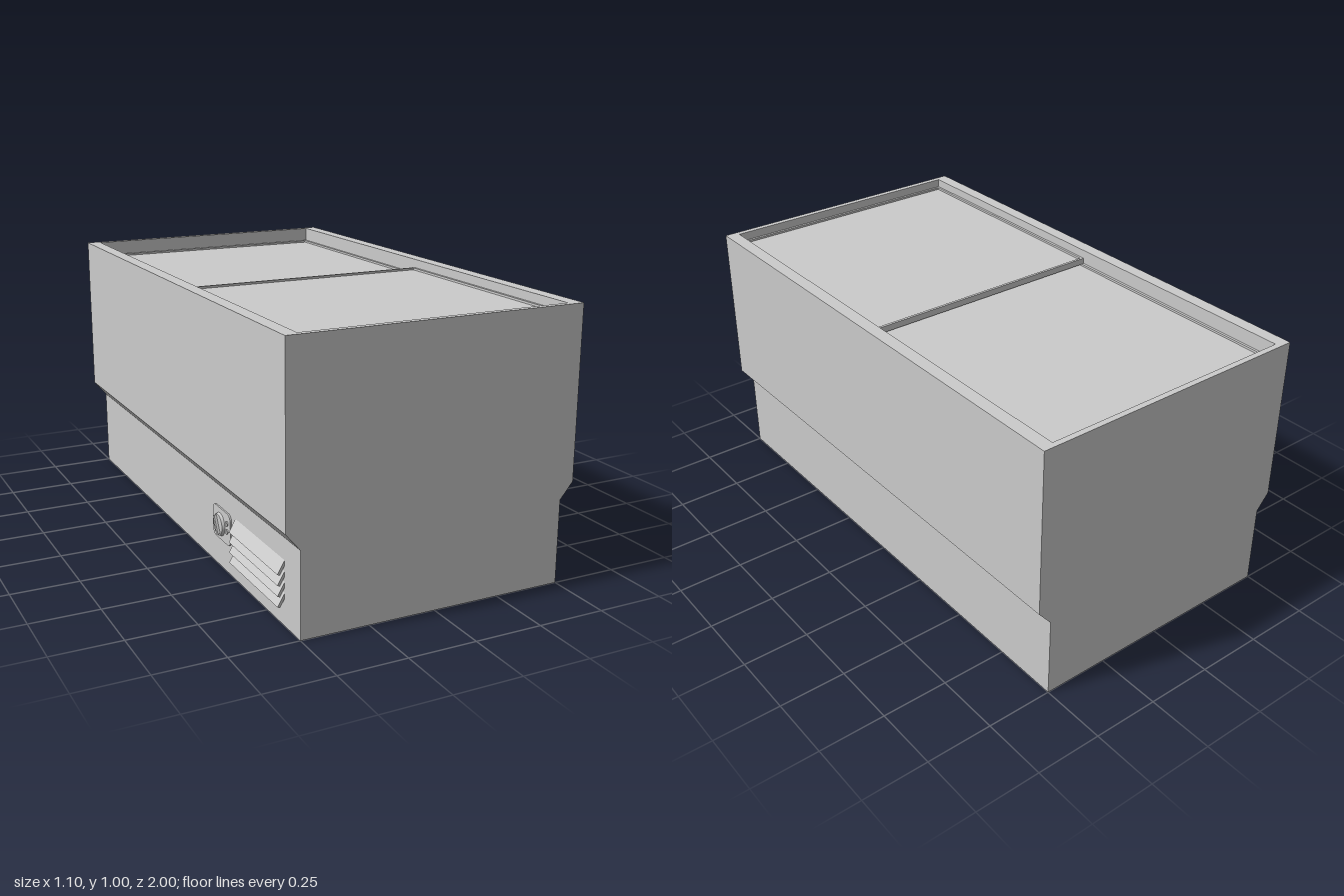
import * as THREE from 'three';

const material = new THREE.MeshStandardMaterial({ color: 0xcccccc });

function add(parent, name, geometry, x = 0, y = 0, z = 0) {
  const mesh = new THREE.Mesh(geometry, material);
  mesh.name = name;
  mesh.position.set(x, y, z);
  parent.add(mesh);
  return mesh;
}

function rectangle(target, w, h) {
  target.moveTo(-w, -h);
  target.lineTo(w, -h);
  target.lineTo(w, h);
  target.lineTo(-w, h);
  target.closePath();
  return target;
}

// Flat rectangular ring lying in the xz plane, rising from y = 0
function ring(halfX, halfZ, innerX, innerZ, height) {
  const shape = rectangle(new THREE.Shape(), halfX, halfZ);
  shape.holes.push(rectangle(new THREE.Path(), innerX, innerZ));
  const geometry = new THREE.ExtrudeGeometry(shape, { depth: height, bevelEnabled: false });
  return geometry.rotateX(-Math.PI / 2);
}

function roundedRect(w, h, r) {
  const s = new THREE.Shape();
  s.absarc(w - r, h - r, r, 0, Math.PI / 2);
  s.absarc(r - w, h - r, r, Math.PI / 2, Math.PI);
  s.absarc(r - w, r - h, r, Math.PI, Math.PI * 1.5);
  s.absarc(w - r, r - h, r, Math.PI * 1.5, Math.PI * 2);
  s.closePath();
  return s;
}

// Sliding lid: a pane with a thin raised frame
function addLid(parent, name, top, zMin, zMax) {
  const lid = new THREE.Group();
  lid.name = name;
  const lip = 0.008, halfZ = (zMax - zMin) / 2;
  add(lid, 'pane', new THREE.BoxGeometry(1, 0.016, halfZ * 2), 0, -lip - 0.008, 0);
  add(lid, 'frame', ring(0.5, halfZ, 0.49, halfZ - 0.01, lip), 0, -lip, 0);
  lid.position.set(0, top, (zMin + zMax) / 2);
  parent.add(lid);
}

export function createModel() {
  const model = new THREE.Group();
  model.name = 'chestFreezer';
  const rimBase = 0.92;

  // Cabinet with a narrower plinth
  const half = [[0.5, 0], [0.5, 0.31], [0.55, 0.37], [0.55, rimBase]];
  const mirrored = half.map(([x, y]) => [-x, y]).reverse();
  const profile = new THREE.Shape([...half, ...mirrored].map(([x, y]) => new THREE.Vector2(x, y)));
  const cabinet = new THREE.ExtrudeGeometry(profile, { depth: 2, bevelEnabled: false });
  add(model, 'cabinet', cabinet, 0, 0, -1);

  // Raised rim around the opening
  add(model, 'rim', ring(0.55, 1, 0.5, 0.978, 1 - rimBase), 0, rimBase, 0);

  // Two lids on separate levels
  addLid(model, 'frontLid', 0.967, 0, 0.978);
  addLid(model, 'backLid', 0.945, -0.978, 0.02);

  // Control panel, facing -x: its local z points out of the cabinet
  const panel = new THREE.Group();
  panel.name = 'controlPanel';
  panel.position.set(-0.5, 0.17, 0.37);
  panel.rotation.y = -Math.PI / 2;
  add(panel, 'plate', new THREE.ExtrudeGeometry(roundedRect(0.08, 0.06, 0.025),
    { depth: 0.006, bevelEnabled: false, curveSegments: 6 }));
  const dial = new THREE.CylinderGeometry(0.04, 0.043, 0.01, 32).rotateX(Math.PI / 2);
  add(panel, 'dial', dial, -0.012, -0.002, 0.011);
  add(panel, 'dialGrip', new THREE.BoxGeometry(0.014, 0.07, 0.01), -0.012, -0.002, 0.02).rotation.z = 0.5;
  const lamp = new THREE.CylinderGeometry(0.009, 0.009, 0.006, 16).rotateX(Math.PI / 2);
  for (const y of [0.022, -0.008]) add(panel, 'indicatorLamp', lamp, 0.053, y, 0.008);
  model.add(panel);

  // Sloping vent slats
  const vent = new THREE.Group();
  vent.name = 'vent';
  for (let i = 0; i < 4; i++) {
    const slat = add(vent, 'ventSlat', new THREE.BoxGeometry(0.01, 0.056, 0.4),
      -0.508, 0.208 - i * 0.038, 0.685);
    slat.rotation.z = -0.52;
  }
  model.add(vent);

  return model;
}
